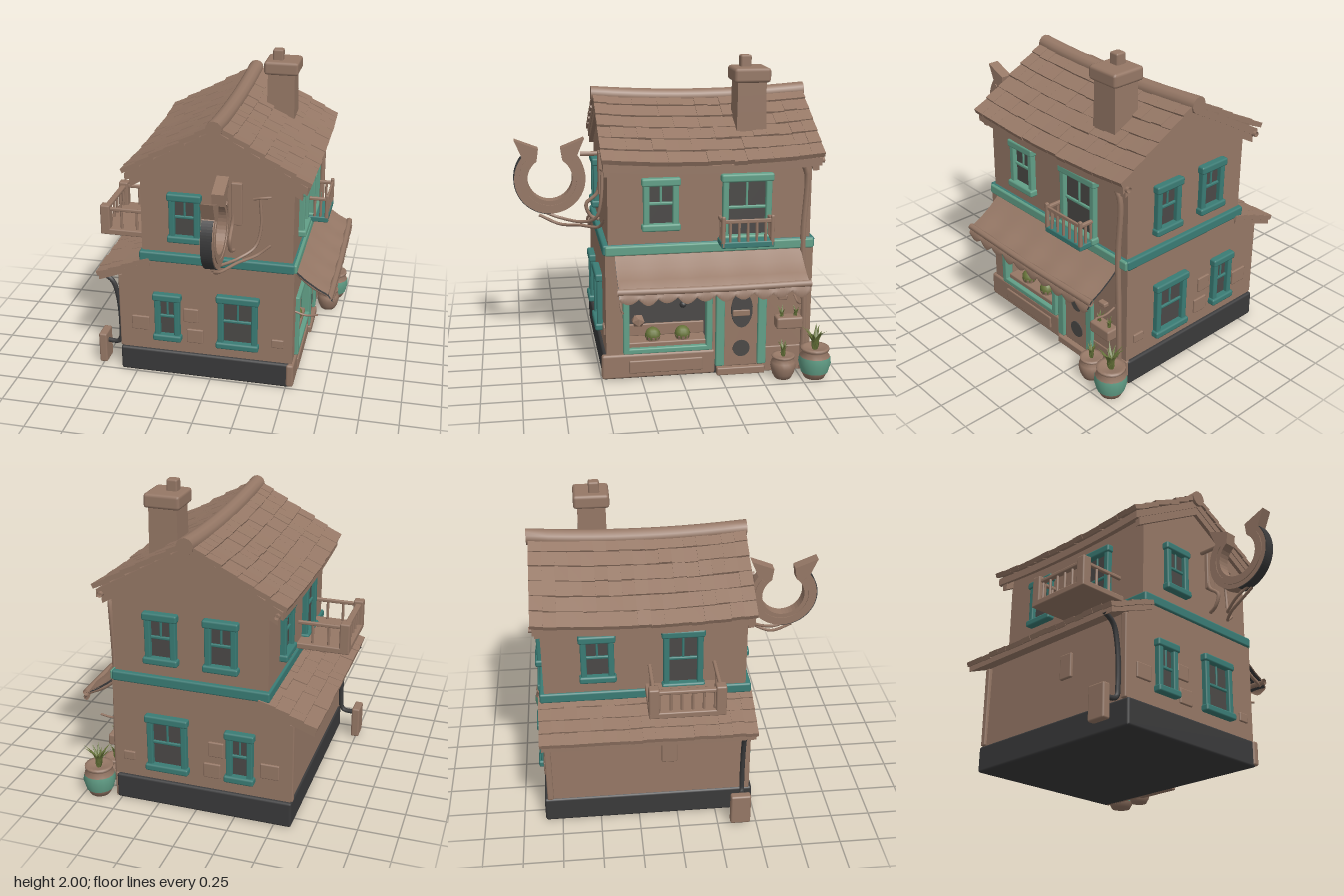
import * as THREE from 'three';
import { RoundedBoxGeometry } from 'three/addons/geometries/RoundedBoxGeometry.js';
import { mergeGeometries } from 'three/addons/utils/BufferGeometryUtils.js';

const mat = (name, color, side = THREE.FrontSide) => {
  const m = new THREE.MeshStandardMaterial({ color, side });
  m.name = name;
  return m;
};
const V = (p) => new THREE.Vector3(...p);

export function createModel() {
  const root = new THREE.Group();
  root.name = 'shopHouse';
  const clay = mat('clay brown', 0x967866, THREE.DoubleSide);
  const dark = mat('charcoal', 0x3a3a3b, THREE.DoubleSide);
  const glass = mat('dark glass', 0x4b4947);
  const teal = mat('teal', 0x3a7c75);
  const mint = mat('mint', 0x62a088);
  const leaf = mat('leaf green', 0x68753a, THREE.DoubleSide);

  let seed = 7;
  const rnd = () => ((seed = (seed * 16807) % 2147483647) / 2147483647) - 0.5;

  const add = (parent, name, geo, material, x = 0, y = 0, z = 0) => {
    const m = new THREE.Mesh(geo, material);
    m.name = name;
    m.position.set(x, y, z);
    parent.add(m);
    return m;
  };
  // box given by its min and max corners
  const box = (parent, name, material, x0, x1, y0, y1, z0, z1, r = 0.008) => {
    const w = x1 - x0, h = y1 - y0, d = z1 - z0;
    const rad = Math.min(r, w / 3, h / 3, d / 3);
    return add(parent, name, new RoundedBoxGeometry(w, h, d, 1, rad), material, (x0 + x1) / 2, (y0 + y1) / 2, (z0 + z1) / 2);
  };
  const tube = (parent, name, material, pts, r = 0.012) =>
    add(parent, name, new THREE.TubeGeometry(new THREE.CatmullRomCurve3(pts.map(V)), pts.length * 6, r, 7), material);
  const poly = (pts) => new THREE.Shape(pts.map((p) => new THREE.Vector2(...p)));
  const prism = (pts, z0, z1, steps = 1) =>
    new THREE.ExtrudeGeometry(poly(pts), { depth: z1 - z0, bevelEnabled: false, steps }).translate(0, 0, z0);
  // facade group: local x runs along the wall, local z points outward
  const facade = (name, turn) => {
    const g = new THREE.Group();
    g.name = name;
    g.rotation.y = turn;
    root.add(g);
    return g;
  };
  const front = facade('frontFacade', 0), back = facade('backFacade', Math.PI);
  const right = facade('shopFacade', Math.PI / 2), left = facade('leanToFacade', -Math.PI / 2);

  // walls
  add(root, 'upperWalls', prism([[-0.45, 0.8], [0.52, 0.8], [0.52, 1.42], [0.03, 1.7], [-0.45, 1.42]], -0.82, 0.45), clay);
  add(root, 'lowerWalls', prism([[-0.6, 0.1], [0.4, 0.1], [0.4, 0.83], [-0.42, 0.83], [-0.59, 0.72]], -0.84, 0.47), clay);
  box(root, 'foundation', dark, -0.61, 0.53, 0, 0.17, -0.86, 0.49, 0.015);
  const shop = poly([[-0.47, 0.1], [0.84, 0.1], [0.84, 0.83], [-0.47, 0.83]]);
  shop.holes.push(poly([[-0.33, 0.2], [-0.33, 0.57], [0.18, 0.57], [0.18, 0.2]]),
    poly([[0.27, 0.11], [0.27, 0.57], [0.5, 0.57], [0.5, 0.11]]));
  add(right, 'shopWall', new THREE.ExtrudeGeometry(shop, { depth: 0.135, bevelEnabled: false }), clay, 0, 0, 0.4);

  // storey band
  box(root, 'storeyBand', teal, -0.465, 0.535, 0.82, 0.885, -0.85, 0.485, 0.012);
  box(right, 'shopBand', mint, -0.47, 0.84, 0.82, 0.88, 0.52, 0.55, 0.01);

  // roofs
  const tiles = (x0, y0, x1, y1, z0, z1, rows, cols) => {
    const dx = x1 - x0, dy = y1 - y0, L = Math.hypot(dx, dy), s = Math.sign(dx), out = [];
    for (let i = 0; i < rows; i++) for (let j = 0; j < cols; j++) {
      const t = (i + 0.5) / rows, w = (z1 - z0) / cols, lift = 0.018 + rnd() * 0.008;
      out.push(new THREE.BoxGeometry((L / rows) * (1.18 + rnd() * 0.12), 0.03, w)
        .rotateZ(Math.atan2(dy, dx) + s * (0.09 + rnd() * 0.04))
        .translate(x0 + dx * t - (dy / L) * s * lift, y0 + dy * t + Math.abs(dx / L) * lift, z0 + w * (j + 0.5)));
    }
    return mergeGeometries(out);
  };
  const sag = (geo) => {
    const p = geo.attributes.position;
    for (let i = 0; i < p.count; i++) p.setY(i, p.getY(i) - 0.03 * Math.max(0, 1 - ((p.getZ(i) + 0.19) / 0.68) ** 2));
    geo.computeVertexNormals();
    return geo;
  };
  const chevron = (drop, thick, ex = 0.57) => {
    const ey = 1.73 - (0.32 * ex) / 0.57 - drop, top = 1.73 - drop;
    return [[0.03 - ex, ey - thick], [0.03, top - thick], [0.03 + ex, ey - thick], [0.03 + ex, ey], [0.03, top], [0.03 - ex, ey]];
  };
  add(root, 'roofDeck', sag(prism(chevron(0, 0.05), -0.86, 0.48, 10)), clay);
  for (const s of [-1, 1])
    add(root, 'roofTiles', sag(tiles(0.03, 1.73, 0.03 + s * 0.57, 1.41, -0.87, 0.49, 6, 17)), clay);
  add(root, 'ridgeCap', sag(new THREE.CylinderGeometry(0.052, 0.052, 1.38, 12, 10).rotateX(Math.PI / 2).translate(0.03, 1.74, -0.19)), clay);
  for (const [z0, z1] of [[0.44, 0.475], [-0.85, -0.81]])
    add(root, 'bargeboard', prism(chevron(0.045, 0.06, 0.54), z0, z1), clay);
  add(root, 'leanToDeck', prism([[-0.74, 0.65], [-0.4, 0.78], [-0.4, 0.82], [-0.74, 0.69]], -0.85, 0.48), clay);
  add(root, 'leanToTiles', tiles(-0.4, 0.81, -0.74, 0.68, -0.86, 0.49, 4, 17), clay);

  // chimney, flared towards the roof
  const stack = new THREE.BoxGeometry(0.18, 0.4, 0.18, 1, 8, 1);
  const sp = stack.attributes.position;
  for (let i = 0; i < sp.count; i++) {
    const k = 1 + 0.3 * Math.max(0, 0.1 - sp.getY(i)) ** 1.2;
    sp.setXYZ(i, sp.getX(i) * k, sp.getY(i), sp.getZ(i) * k);
  }
  add(root, 'chimneyStack', stack, clay, 0.29, 1.66, -0.465);
  box(root, 'chimneyCap', clay, 0.175, 0.405, 1.84, 1.93, -0.58, -0.35, 0.02);
  box(root, 'chimneyPot', clay, 0.225, 0.295, 1.9, 2, -0.48, -0.41, 0.012);

  // windows
  const windowAt = (wall, x, y, w, h, z, m) => {
    const g = new THREE.Group();
    g.name = 'window';
    g.position.set(x, y, z);
    wall.add(g);
    const a = w / 2, f = 0.038;
    box(g, 'pane', glass, -a + 0.02, a - 0.02, 0.02, h - 0.02, -0.01, 0.006);
    for (const s of [-1, 1])
      box(g, 'jamb', m, s * (a - 0.03) - f / 2, s * (a - 0.03) + f / 2, 0.02, h - 0.02, -0.01, 0.035);
    box(g, 'lintel', m, -a, a, h - 0.05, h, -0.01, 0.045, 0.012);
    box(g, 'sill', m, -a, a, 0, 0.045, -0.01, 0.05, 0.012);
    box(g, 'sashRail', m, -a + 0.04, a - 0.04, h * 0.48, h * 0.48 + 0.02, -0.01, 0.018);
    box(g, 'sashBar', m, -0.007, 0.007, h * 0.5, h - 0.04, -0.01, 0.014);
  };
  windowAt(front, -0.165, 0.97, 0.22, 0.33, 0.45, teal);
  windowAt(front, -0.285, 0.26, 0.19, 0.34, 0.47, teal);
  windowAt(front, 0.18, 0.25, 0.28, 0.38, 0.47, teal);
  windowAt(back, 0.165, 0.97, 0.22, 0.33, 0.82, teal);
  windowAt(back, -0.21, 0.97, 0.22, 0.33, 0.82, teal);
  windowAt(back, 0.285, 0.26, 0.19, 0.34, 0.84, teal);
  windowAt(back, -0.18, 0.25, 0.28, 0.38, 0.84, teal);
  windowAt(right, -0.125, 0.97, 0.24, 0.33, 0.52, mint);
  windowAt(right, 0.41, 0.88, 0.33, 0.43, 0.52, mint);
  windowAt(left, -0.48, 0.97, 0.23, 0.33, 0.45, teal);
  windowAt(left, 0.05, 0.89, 0.27, 0.42, 0.45, teal);

  // exposed bricks
  for (const [x0, x1, y0, y1] of [[-0.53, -0.41, 0.31, 0.41], [-0.16, -0.05, 0.25, 0.35], [-0.18, -0.08, 0.4, 0.5], [0.4, 0.48, 0.28, 0.34]])
    for (const [wall, s, z] of [[front, 1, 0.47], [back, -1, 0.84]])
      box(wall, 'brick', clay, Math.min(s * x0, s * x1), Math.max(s * x0, s * x1), y0, y1, z - 0.01, z + 0.012);

  // shop window with its display
  box(right, 'shopBackPanel', glass, -0.34, 0.51, 0.12, 0.58, 0.395, 0.407, 0.001);
  for (const [x0, x1, y0, y1] of [[-0.365, -0.325, 0.18, 0.59], [0.16, 0.2, 0.18, 0.59], [-0.365, 0.2, 0.175, 0.21], [-0.365, 0.2, 0.56, 0.6]])
    box(right, 'shopWindowFrame', mint, x0, x1, y0, y1, 0.5, 0.56);
  box(right, 'displayShelf', clay, -0.33, 0.17, 0.2, 0.24, 0.4, 0.53);
  box(right, 'displayBackboard', clay, -0.33, 0.17, 0.24, 0.32, 0.4, 0.42);
  for (const x of [-0.17, 0.02]) {
    add(right, 'displaySack', new THREE.SphereGeometry(0.05, 10, 8), leaf, x, 0.27, 0.48);
    add(right, 'displayBasket', new THREE.CylinderGeometry(0.05, 0.04, 0.04, 10), clay, x, 0.245, 0.48);
  }
  add(right, 'displayFlower', new THREE.IcosahedronGeometry(0.045, 0), clay, -0.26, 0.36, 0.46);
  tube(right, 'hangingLampCord', dark, [[0.02, 0.57, 0.5], [0.02, 0.5, 0.5]], 0.005);
  add(right, 'hangingLamp', new THREE.SphereGeometry(0.022, 8, 6), dark, 0.02, 0.47, 0.5);
  box(right, 'stallRiser', clay, -0.5, 0.22, 0.01, 0.17, 0.5, 0.55, 0.015);
  box(right, 'stallRiserPanel', clay, -0.33, 0.14, 0.045, 0.13, 0.53, 0.56);
  box(right, 'rightPlinth', clay, 0.5, 0.85, 0, 0.17, 0.5, 0.542);

  // door
  for (const x of [0.25, 0.52]) box(right, 'doorJamb', mint, x - 0.028, x + 0.028, 0.06, 0.6, 0.51, 0.56);
  box(right, 'doorLintel', mint, 0.22, 0.55, 0.56, 0.6, 0.51, 0.56);
  box(right, 'doorLeaf', clay, 0.275, 0.5, 0.05, 0.57, 0.47, 0.54);
  box(right, 'doorStep', clay, 0.23, 0.54, 0, 0.05, 0.5, 0.57);
  const disc = (name, y, rx, ry) => add(right, name, new THREE.CylinderGeometry(1, 1, 0.008, 18).rotateX(Math.PI / 2), glass, 0.39, y, 0.541).scale.set(rx, ry, 1);
  disc('doorUpperPane', 0.43, 0.07, 0.12);
  disc('doorLowerPane', 0.17, 0.055, 0.055);
  box(right, 'doorSign', clay, 0.33, 0.44, 0.39, 0.43, 0.54, 0.556);

  // awning with scalloped valance
  const prof = [[0.53, 0.82], [0.6, 0.76], [0.68, 0.705], [0.75, 0.67], [0.78, 0.63], [0.775, 0.58]];
  const awning = (rows, off) => {
    const g = new THREE.PlaneGeometry(1, 1, 70, rows - 1), p = g.attributes.position;
    for (let i = 0; i < p.count; i++) {
      const r = Math.floor(i / 71), u = (i % 71) / 70;
      const scallop = r === 5 ? 0.035 * (1 - Math.abs(Math.sin(u * Math.PI * 10))) : 0;
      p.setXYZ(i, prof[r][0] - off, prof[r][1] - off + scallop + 0.006 * Math.sin(u * 30) * (r / 5), 0.41 - 1.17 * u);
    }
    g.computeVertexNormals();
    return g;
  };
  add(root, 'awning', awning(6, 0), clay);
  add(root, 'awningLining', awning(5, 0.009), dark);
  tube(root, 'awningRoll', clay, [[0.755, 0.66, 0.42], [0.76, 0.655, -0.2], [0.755, 0.66, -0.77]], 0.022);
  for (const z of [0.38, -0.73]) {
    tube(root, 'awningBrace', clay, [[0.53, 0.79, z], [0.64, 0.7, z], [0.76, 0.64, z]]);
    tube(root, 'awningHook', clay, [[0.53, 0.51, z], [0.6, 0.49, z], [0.68, 0.5, z]], 0.007);
  }

  // gutters and pipes
  for (const x of [0.57, -0.51]) tube(root, 'gutter', clay, [[x, 1.385, 0.47], [x, 1.38, -0.2], [x, 1.385, -0.88]], 0.018);
  tube(root, 'downpipe', clay, [[0.57, 1.38, -0.74], [0.55, 1.3, -0.78], [0.545, 0.9, -0.77], [0.55, 0.4, -0.79], [0.55, 0.01, -0.79]], 0.018);
  tube(root, 'leanToPipe', dark, [[-0.74, 0.67, 0.42], [-0.67, 0.62, 0.42], [-0.635, 0.5, 0.42], [-0.625, 0.25, 0.42], [-0.64, 0.17, 0.42], [-0.73, 0.16, 0.41]], 0.016);
  box(root, 'bollard', clay, -0.775, -0.72, 0.01, 0.225, 0.33, 0.46, 0.012);
  box(left, 'wallVent', clay, -0.1, 0, 0.42, 0.58, 0.59, 0.615);
  for (const x of [-0.82, 0.45]) box(left, 'cornerPost', clay, x - 0.02, x + 0.02, 0.17, 0.7, 0.58, 0.615);

  // balconies
  const balcony = (wall, x0, x1, z0, z1, y0, y1, post, n, floorMat) => {
    box(wall, 'balconyFloor', floorMat, x0, x1, y0, y0 + 0.04, z0, z1);
    box(wall, 'balconyRail', clay, x0, x1, y1 - 0.045, y1 - 0.02, z1 - post * 0.8, z1 - post * 0.2);
    for (const x of [x0 + post / 2, x1 - post / 2]) {
      box(wall, 'balconyPost', clay, x - post / 2, x + post / 2, y0, y1, z1 - post, z1, 0.01);
      box(wall, 'balconySideRail', clay, x - 0.012, x + 0.012, y1 - 0.045, y1 - 0.02, z0, z1 - post / 2);
      for (const k of [0.3, 0.6])
        tube(wall, 'baluster', clay, [[x, y0 + 0.03, z0 + (z1 - z0) * k], [x, y1 - 0.03, z0 + (z1 - z0) * k]], 0.009);
    }
    for (let i = 1; i <= n; i++) {
      const x = x0 + ((x1 - x0) * i) / (n + 1);
      tube(wall, 'baluster', clay, [[x, y0 + 0.03, z1 - post / 2], [x, y1 - 0.03, z1 - post / 2]], 0.009);
    }
  };
  balcony(left, -0.19, 0.28, 0.44, 0.785, 0.88, 1.085, 0.065, 6, clay);
  balcony(right, 0.23, 0.56, 0.52, 0.655, 0.87, 1.07, 0.025, 5, teal);

  // hanging horseshoe sign, facing sideways
  const arc = (r, a, b) => Array.from({ length: 31 }, (_, i) => {
    const t = ((a + ((b - a) * i) / 30) * Math.PI) / 180;
    return [r * Math.cos(t), r * Math.sin(t)];
  });
  const sign = new THREE.Group();
  sign.name = 'horseshoeSign';
  sign.position.set(0.1, 1.22, 0.775);
  sign.rotation.y = -Math.PI / 2;
  root.add(sign);
  const shoe = [...arc(0.225, 140, 400), [0.22, 0.255], [0.07, 0.195], ...arc(0.142, 415, 125), [-0.07, 0.195], [-0.22, 0.255]];
  add(sign, 'horseshoe', prism(shoe, -0.038, 0.038), clay);
  add(sign, 'horseshoeRim', prism([...arc(0.23, -90, 38), ...arc(0.222, 38, -90)], -0.032, 0.036), dark);
  for (const s of [-1, 1])
    add(sign, 'horseshoeRidge', prism([...arc(0.195, 140, 400), ...arc(0.17, 400, 140)], -0.004, 0.004), clay, 0, 0, s * 0.04);
  box(root, 'signWallPlate', clay, 0.13, 0.2, 1.12, 1.4, 0.44, 0.475);
  tube(root, 'signBar', clay, [[0.1, 1.37, 0.44], [0.1, 1.37, 0.58]], 0.015);
  tube(root, 'signCable', clay, [[0.31, 1.31, 0.46], [0.32, 1.12, 0.47], [0.29, 1.0, 0.5], [0.2, 0.95, 0.58], [0.11, 0.96, 0.72], [0.1, 1.0, 0.82]], 0.01);
  tube(root, 'signCable', clay, [[0.38, 1.0, 0.46], [0.3, 0.94, 0.49], [0.2, 0.93, 0.6], [0.12, 0.92, 0.72], [0.1, 0.98, 0.85]], 0.01);
  tube(root, 'signScroll', clay, [[0.15, 1.24, 0.46], [0.14, 1.12, 0.48], [0.14, 1.05, 0.55], [0.14, 0.97, 0.52], [0.15, 0.95, 0.47]], 0.012);
  tube(root, 'cableHook', clay, [[0.27, 1.3, 0.46], [0.32, 1.315, 0.47], [0.38, 1.32, 0.46]], 0.008);

  // potted plants with arching leaves
  const plant = (x, y, z, len, n, spread) => {
    const leaves = [];
    for (let i = 0; i < n; i++) {
      const l = len * (0.9 + rnd() * 0.3), g = new THREE.ConeGeometry(0.19 * l, l, 5, 5).translate(0, l / 2, 0).scale(1, 1, 0.25);
      const p = g.attributes.position, out = spread * (0.75 + rnd() * 0.5);
      for (let k = 0; k < p.count; k++) {
        const t = p.getY(k) / l;
        p.setXYZ(k, p.getX(k) * (t < 0.1 ? 0.5 : 1), p.getY(k) * (1 - 0.25 * t * out), p.getZ(k) + l * out * t * t);
      }
      leaves.push(g.rotateY((i * 2 * Math.PI) / n + rnd() * 0.4));
    }
    const geo = mergeGeometries(leaves);
    geo.computeVertexNormals();
    add(root, 'leaves', geo, leaf, x, y, z);
  };
  const pot = (x, z, r, h, m) => {
    const lathe = (pts) => new THREE.LatheGeometry(pts.map(([a, b]) => new THREE.Vector2(a * r, b * h)), 18);
    add(root, 'pot', lathe([[0, 0], [0.65, 0], [0.85, 0.2], [1, 0.5], [0.95, 0.72], [0.75, 0.85], [0.9, 0.92], [0.9, 1], [0.7, 1], [0, 0.9]]), clay, x, 0, z);
    if (m) add(root, 'potGlaze', lathe([[0.87, 0.2], [1.03, 0.5], [0.98, 0.72]]), m, x, 0, z);
  };
  pot(0.66, -0.84, 0.1, 0.2, mint);
  plant(0.66, 0.18, -0.84, 0.17, 11, 0.6);
  pot(0.64, -0.64, 0.08, 0.15, null);
  plant(0.64, 0.14, -0.64, 0.11, 8, 0.5);
  box(right, 'flowerBox', clay, 0.6, 0.77, 0.31, 0.385, 0.53, 0.62, 0.012);
  for (const z of [-0.64, -0.73]) plant(0.575, 0.37, z, 0.085, 6, 0.5);
  box(right, 'wallLamp', clay, 0.62, 0.68, 0.49, 0.52, 0.53, 0.57);
  return root;
}
